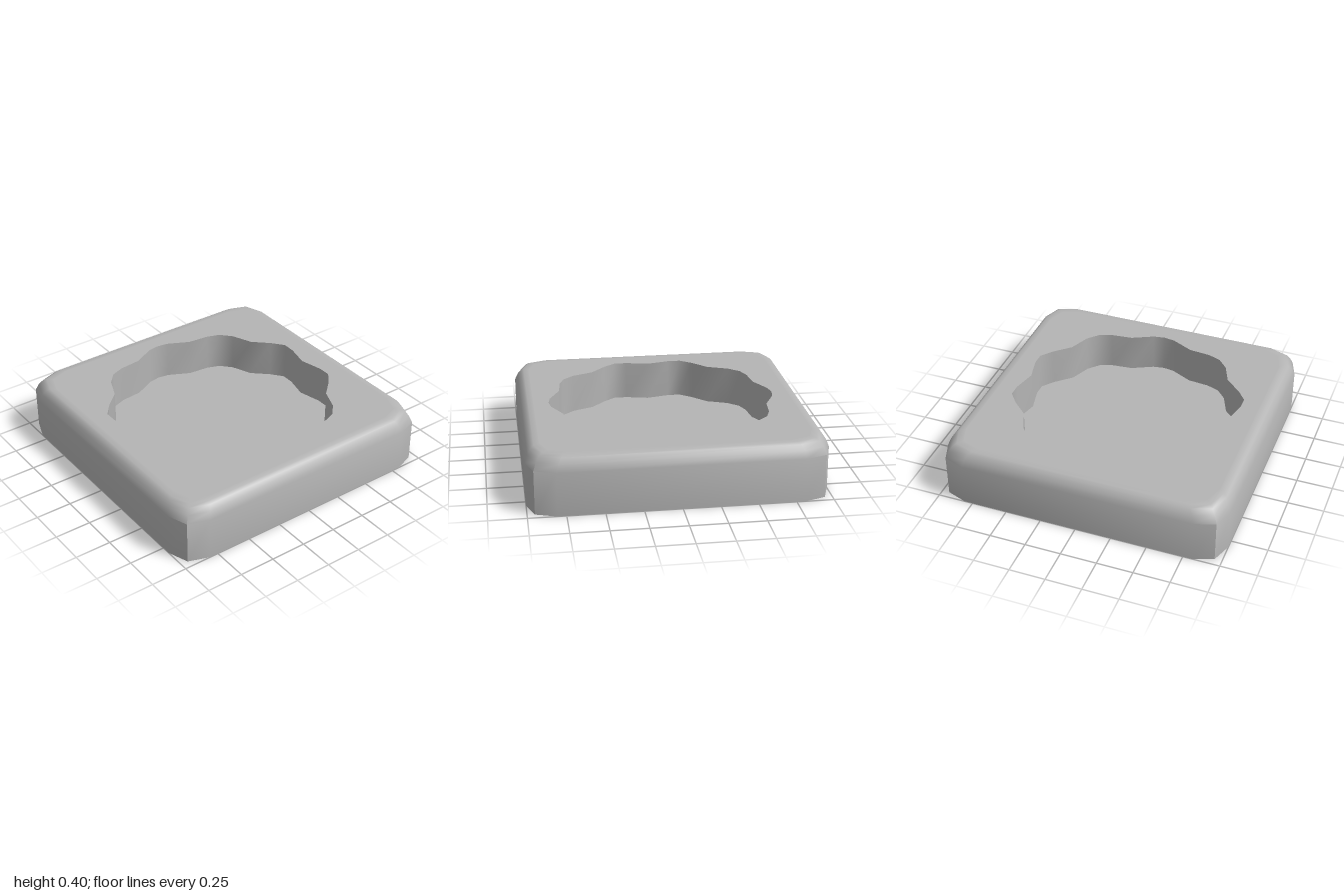
import * as THREE from 'three';
import { toCreasedNormals } from 'three/addons/utils/BufferGeometryUtils.js';

// Mirror first-quadrant points (listed from +x to +y) into a closed counter-clockwise loop.
function mirrorLoop(quarter) {
  const loop = [];
  for (let q = 0; q < 4; q++) {
    const sx = q === 1 || q === 2 ? -1 : 1;
    const sy = q > 1 ? -1 : 1;
    const points = q % 2 ? [...quarter].reverse() : quarter;
    for (const [x, y] of points) {
      const p = new THREE.Vector2(x * sx, y * sy);
      if (!loop.some((o) => o.distanceTo(p) < 1e-4)) loop.push(p);
    }
  }
  return loop;
}

// Skin between copies of an outline, each given as [scale, height].
function loft(outline, levels, crease) {
  const n = outline.length;
  const positions = [];
  const index = [];
  levels.forEach(([s, h], r) => {
    outline.forEach((p, i) => {
      positions.push(p.x * s, h, -p.y * s);
      if (r === levels.length - 1) return;
      const a = r * n + i;
      const b = r * n + ((i + 1) % n);
      index.push(a, b, b + n, a, b + n, a + n);
    });
  });
  const geometry = new THREE.BufferGeometry();
  geometry.setAttribute('position', new THREE.Float32BufferAttribute(positions, 3));
  geometry.setIndex(index);
  return toCreasedNormals(geometry, crease);
}

// Flat horizontal face, optionally with a hole or facing down.
function plate(outline, height, { hole, down = false } = {}) {
  const shape = new THREE.Shape(outline);
  if (hole) shape.holes.push(new THREE.Path(hole));
  const geometry = new THREE.ShapeGeometry(shape);
  geometry.rotateX(down ? Math.PI / 2 : -Math.PI / 2);
  return geometry.translate(0, height, 0);
}

export function createModel() {
  const group = new THREE.Group();
  group.name = 'scallopedTray';
  const gray = new THREE.MeshStandardMaterial({ color: 0xb4b4b4 });
  gray.name = 'gray';

  const add = (name, geometry) => {
    const mesh = new THREE.Mesh(geometry, gray);
    mesh.name = name;
    group.add(mesh);
  };

  const topY = 0.4;
  const floorY = 0.125;
  const rimScale = 0.9;

  // Square with faceted corners, and a ten-lobed recess
  const outer = mirrorLoop([[1, 0.81], [0.95, 0.95], [0.81, 1]]);
  const scallop = mirrorLoop([
    [0.737, 0], [0.775, 0.16], [0.775, 0.25], [0.71, 0.333], [0.6, 0.435], [0.54, 0.58],
    [0.47, 0.657], [0.38, 0.69], [0.23, 0.705], [0.08, 0.78], [0, 0.793],
  ]);
  const rim = outer.map((p) => p.clone().multiplyScalar(rimScale));

  // Outer wall with rounded shoulder
  add('outerWall', loft(outer, [
    [1, 0], [1, 0.3], [0.98, 0.35], [0.957, 0.384], [0.935, 0.398], [rimScale, topY],
  ], 0.87));
  add('topFace', plate(rim, topY, { hole: scallop }));

  // Recess
  add('recessWall', loft(scallop, [[1, topY], [1, floorY]], 0.9));
  add('recessFloor', plate(scallop, floorY));

  add('underside', plate(outer, 0, { down: true }));
  return group;
}
